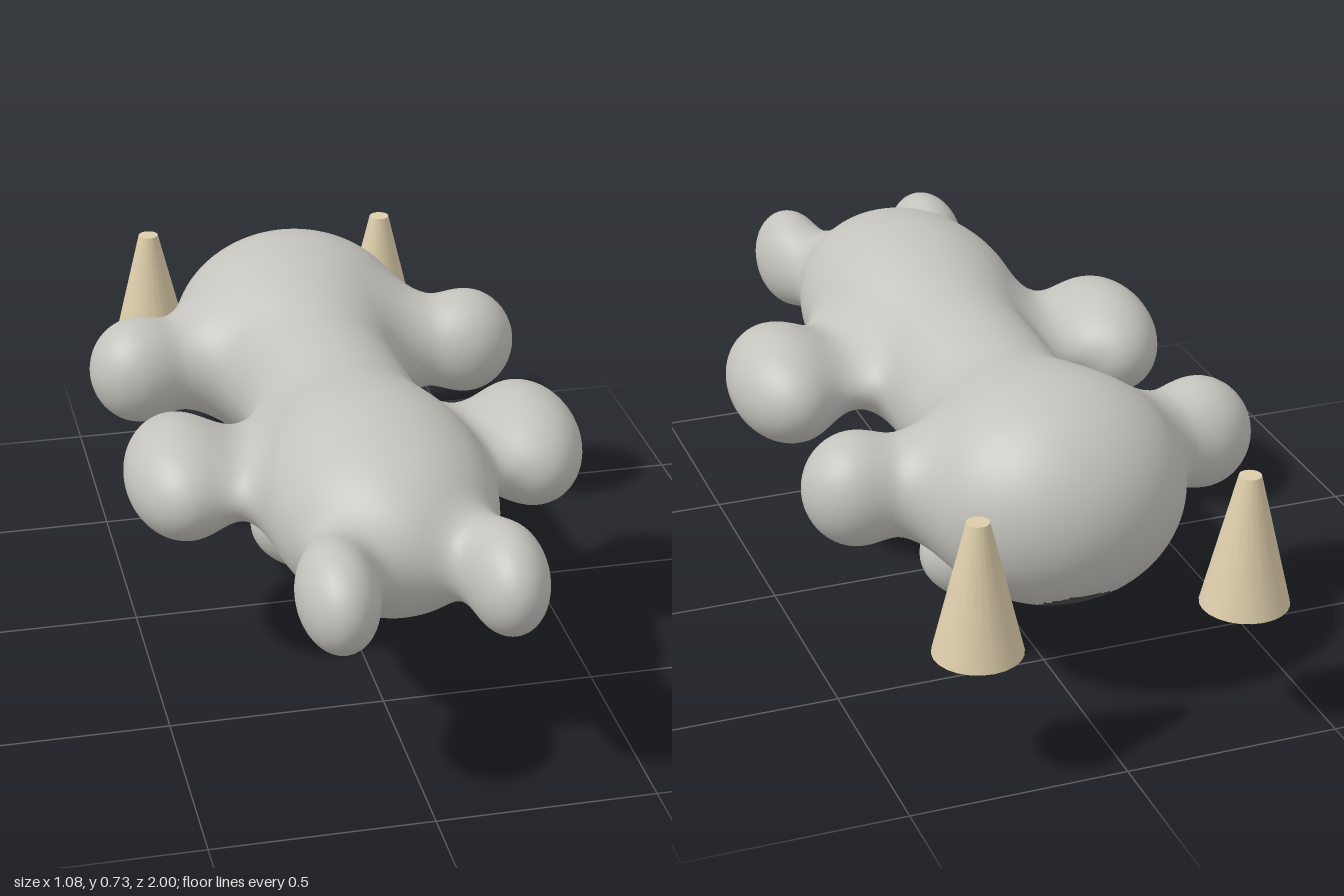
import * as THREE from 'three';

const mat = (name, color, side = THREE.FrontSide) => {
  const m = new THREE.MeshStandardMaterial({ color, side });
  m.name = name;
  return m;
};

// Rounded masses of the body: signed distance functions blended into one skin
const ellipsoid = (cx, cy, cz, rx, ry, rz) => (x, y, z) => {
  const px = x - cx + 1e-6, py = y - cy, pz = z - cz;
  const k0 = Math.hypot(px / rx, py / ry, pz / rz);
  const k1 = Math.hypot(px / rx ** 2, py / ry ** 2, pz / rz ** 2);
  return k0 * (k0 - 1) / k1;
};
const capsule = (a, b, ra, rb) => (x, y, z) => {
  const d = b.map((v, i) => v - a[i]), p = [x - a[0], y - a[1], z - a[2]];
  const dot = (u, v) => u[0] * v[0] + u[1] * v[1] + u[2] * v[2];
  const t = Math.min(1, Math.max(0, dot(p, d) / dot(d, d)));
  return Math.hypot(...p.map((v, i) => v - d[i] * t)) - (ra + (rb - ra) * t);
};

// Each mass: part name, distance function, blend width
const masses = [
  ['torso', capsule([0, 0.467, -0.3], [0, 0.487, 0.35], 0.2, 0.207), 0.01],
  ['torso', ellipsoid(0, 0.5, 0.45, 0.262, 0.226, 0.36), 0.1],
  ['head', ellipsoid(0, 0.472, -0.53, 0.305, 0.262, 0.29), 0.12],
  ['snout', ellipsoid(0, 0.25, -0.168, 0.135, 0.15, 0.12), 0.07],
  ['snout', ellipsoid(0, 0.13, -0.166, 0.183, 0.13, 0.123), 0.06],
];
for (const [side, s] of [['left', 1], ['right', -1]]) {
  masses.push(
    [side + 'Ear', capsule([s * 0.22, 0.475, -0.43], [s * 0.415, 0.475, -0.4], 0.11, 0.115), 0.1],
    [side + 'Ear', ellipsoid(s * 0.415, 0.473, -0.4, 0.117, 0.13, 0.118), 0.03],
    [side + 'Arm', ellipsoid(s * 0.24, 0.482, 0.207, 0.2, 0.08, 0.18), 0.08],
    [side + 'Arm', ellipsoid(s * 0.41, 0.473, 0.185, 0.13, 0.132, 0.205), 0.06],
    [side + 'Foot', ellipsoid(s * 0.185, 0.5, 0.85, 0.089, 0.12, 0.148), 0.1],
  );
}

function field(x, y, z) {
  let d = 10;
  for (const [, f, k] of masses) {
    const e = f(x, y, z), h = Math.max(k - Math.abs(d - e), 0) / k;
    d = Math.min(d, e) - h * h * k / 4;
  }
  return d;
}

function gradient([x, y, z]) {
  const e = 0.002;
  return [
    (field(x + e, y, z) - field(x - e, y, z)) / (2 * e),
    (field(x, y + e, z) - field(x, y - e, z)) / (2 * e),
    (field(x, y, z + e) - field(x, y, z - e)) / (2 * e),
  ];
}

// Part that owns a point of the skin, including the two coloured patches
function partAt(x, y, z) {
  let best = 10, name = '';
  for (const [n, f] of masses) {
    const e = f(x, y, z);
    if (e < best) { best = e; name = n; }
  }
  if (name === 'snout' && y < 0.04) return 'snoutTip';
  if (name === 'head' && y < 0.4 && Math.hypot(x / 0.085, (z + 0.7) / 0.055) < 1) return 'headPatch';
  return name;
}

// Grid the field and stitch one quad across every edge the skin crosses
function skin() {
  const h = 0.0151, lo = [-0.6, -0.06, -0.88], n = [80, 60, 128];
  const stride = [1, n[0], n[0] * n[1]];
  const id = (i, j, k) => i + j * stride[1] + k * stride[2];
  const values = new Float32Array(n[0] * n[1] * n[2]);
  const eachCell = (start, fn) => {
    for (let k = start; k < n[2] - 1; k++)
      for (let j = start; j < n[1] - 1; j++)
        for (let i = start; i < n[0] - 1; i++) fn(i, j, k, id(i, j, k));
  };
  eachCell(0, (i, j, k, c) => { values[c] = field(lo[0] + i * h, lo[1] + j * h, lo[2] + k * h); });

  // One vertex per crossed cell, settled onto the surface
  const verts = new Map();
  eachCell(0, (i, j, k, c) => {
    if (i > n[0] - 3 || j > n[1] - 3 || k > n[2] - 3) return;
    const sum = [0, 0, 0];
    let count = 0;
    for (let a = 0; a < 8; a++) for (let b = 0; b < 3; b++) {
      if (a >> b & 1) continue;
      const corner = [a & 1, a >> 1 & 1, a >> 2];
      const o = c + corner[0] + corner[1] * stride[1] + corner[2] * stride[2];
      const va = values[o], vb = values[o + stride[b]];
      if ((va < 0) === (vb < 0)) continue;
      corner[b] += va / (va - vb);
      corner.forEach((v, q) => { sum[q] += v; });
      count++;
    }
    if (!count) return;
    const p = [i, j, k].map((v, q) => lo[q] + h * (v + sum[q] / count));
    for (let t = 0; t < 2; t++) {
      const g = gradient(p), d = field(...p) / (g[0] ** 2 + g[1] ** 2 + g[2] ** 2 + 1e-6);
      for (let q = 0; q < 3; q++) p[q] -= g[q] * d;
    }
    verts.set(c, { p, n: new THREE.Vector3(...gradient(p)).normalize().toArray() });
  });

  // Sort the quads into named parts
  const parts = {};
  eachCell(1, (i, j, k, c) => {
    for (let a = 0; a < 3; a++) {
      const inside = values[c] < 0;
      if (inside === values[c + stride[a]] < 0) continue;
      const u = stride[(a + 1) % 3], v = stride[(a + 2) % 3];
      const quad = [c - u - v, c - v, c, c - u].map((q) => verts.get(q));
      if (quad.includes(undefined)) continue;
      if (!inside) quad.reverse();
      const mid = [0, 1, 2].map((q) => quad.reduce((t, w) => t + w.p[q], 0) / 4);
      const part = parts[partAt(...mid)] ??= { pos: [], nor: [] };
      for (const q of [0, 1, 2, 0, 2, 3]) {
        part.pos.push(...quad[q].p);
        part.nor.push(...quad[q].n);
      }
    }
  });
  return parts;
}

export function createModel() {
  const group = new THREE.Group();
  const grey = mat('soft grey', 0xc4c2bc);
  const pink = mat('dusty pink', 0xc48a84);
  const dark = mat('charcoal', 0x4a4a4a);
  const tan = mat('tan', 0xdccdaa);

  // Blended body
  for (const [name, { pos, nor }] of Object.entries(skin())) {
    const geo = new THREE.BufferGeometry();
    geo.setAttribute('position', new THREE.Float32BufferAttribute(pos, 3));
    geo.setAttribute('normal', new THREE.Float32BufferAttribute(nor, 3));
    const mesh = new THREE.Mesh(geo, { snoutTip: pink, headPatch: dark }[name] ?? grey);
    mesh.name = name;
    group.add(mesh);
  }

  // Pair of loose cones behind the head
  for (const s of [1, -1]) {
    const cone = new THREE.Mesh(new THREE.CylinderGeometry(0.025, 0.1, 0.31, 24), tan);
    cone.position.set(s * 0.31, 0.465, -0.9);
    cone.name = s > 0 ? 'leftCone' : 'rightCone';
    group.add(cone);
  }
  return group;
}
